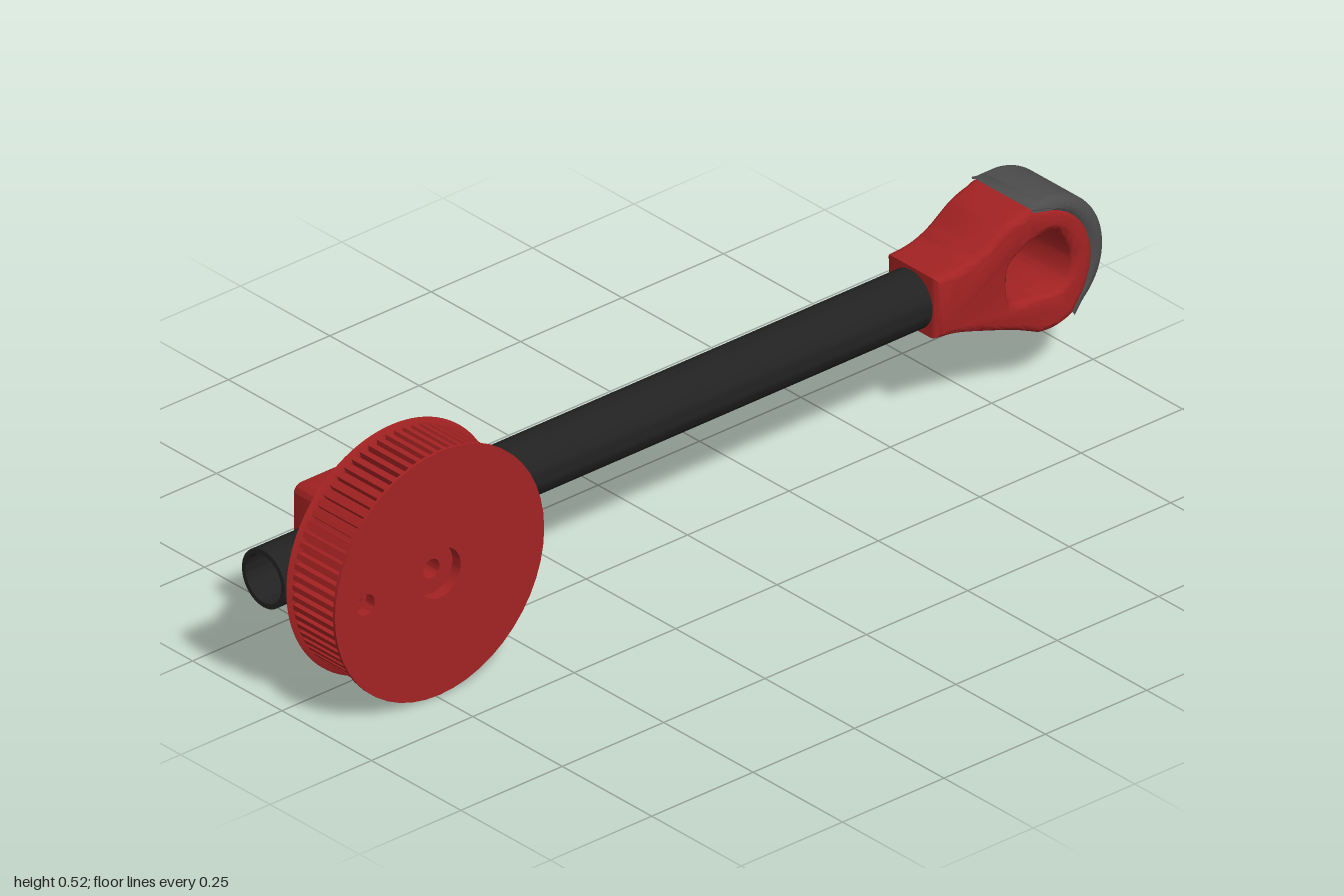
import * as THREE from 'three';
import { toCreasedNormals } from 'three/addons/utils/BufferGeometryUtils.js';

const red = new THREE.MeshStandardMaterial({ color: 0xa32222 });
const black = new THREE.MeshStandardMaterial({ color: 0x222222, side: THREE.DoubleSide });
const grey = new THREE.MeshStandardMaterial({ color: 0x4c4c4c });

const AXIS_Y = 0.262, WHEEL_X = -0.742, TUBE_Z = -0.052;
const FOOT_X = 0.862, FOOT_Y = 0.267, FOOT_R = 0.139;
const rad = THREE.MathUtils.degToRad;
const V = (x, y) => new THREE.Vector2(x, y);

function mesh(name, geometry, material, crease = 0.6) {
  const m = new THREE.Mesh(crease ? toCreasedNormals(geometry, crease) : geometry, material);
  m.name = name;
  return m;
}

function circle(r, x = 0, y = 0) {
  return new THREE.Path().absarc(x, y, r, 0, Math.PI * 2, true);
}

// Extrude a shape between two z planes
function slab(shape, z0, z1, bevel = 0) {
  const g = new THREE.ExtrudeGeometry(shape, {
    depth: z1 - z0 - 2 * bevel, curveSegments: 24, bevelEnabled: bevel > 0,
    bevelThickness: bevel, bevelSize: bevel, bevelOffset: -bevel, bevelSegments: 5,
  });
  return g.translate(0, 0, z0 + bevel);
}

// Toothed belt wheel outline
function toothShape(count = 72) {
  const pts = [], step = Math.PI * 2 / count;
  for (let i = 0; i < count; i++) {
    for (const [f, r] of [[0, 0.235], [0.3, 0.235], [0.4, 0.248], [0.9, 0.248]]) {
      const a = (i + f) * step;
      pts.push(V(Math.cos(a) * r, Math.sin(a) * r));
    }
  }
  return new THREE.Shape(pts);
}

function pocket(angle) {
  const r0 = 0.128, r1 = 0.205, p = [];
  for (let i = 0; i <= 6; i++) {
    const a = angle + (i / 6 - 0.5) * 0.46;
    p.push(V(Math.cos(a) * r1, Math.sin(a) * r1));
  }
  for (let i = 0; i <= 6; i++) {
    const a = angle + (0.5 - i / 6) * 0.4;
    p.push(V(Math.cos(a) * r0, Math.sin(a) * r0));
  }
  return new THREE.Path(p);
}

function buildWheel() {
  const wheel = new THREE.Group();
  wheel.name = 'beltWheel';
  const layer = (name, shape, z0, z1, hub, pin, extra = []) => {
    shape.holes.push(circle(hub), circle(pin, -0.182), ...extra);
    wheel.add(mesh(name, slab(shape, z0, z1), red));
  };
  const pockets = Array.from({ length: 8 }, (_, i) => pocket((i + 0.5) * Math.PI / 4));
  layer('spokedBack', toothShape(), 0.012, 0.09, 0.02, 0.01, pockets);
  layer('web', toothShape(), 0.09, 0.125, 0.02, 0.01);
  layer('toothedFront', toothShape(), 0.125, 0.142, 0.052, 0.022);
  layer('frontFlange', new THREE.Shape().absarc(0, 0, 0.258, 0, Math.PI * 2), 0.142, 0.148, 0.052, 0.022);
  // Flared lip on the back rim
  const lip = new THREE.LatheGeometry([V(0.23, 0.012), V(0.258, 0.012), V(0.246, 0.019), V(0.23, 0.019)], 96);
  wheel.add(mesh('backLip', lip.rotateX(Math.PI / 2), red));
  wheel.position.set(WHEEL_X, AXIS_Y, 0);
  return wheel;
}

function buildClamp() {
  const clamp = new THREE.Group();
  clamp.name = 'clamp';
  const s = 0.107, r = 0.022, block = new THREE.Shape();
  block.absarc(s - r, s - r, r, 0, Math.PI / 2);
  block.absarc(r - s, s - r, r, Math.PI / 2, Math.PI);
  block.absarc(r - s, r - s, r, Math.PI, Math.PI * 1.5);
  block.absarc(s - r, r - s, r, Math.PI * 1.5, Math.PI * 2);
  block.holes.push(circle(0.034));
  clamp.add(mesh('clampBlock', slab(block, -0.148, 0.016, 0.016), red, 0.7));
  // Screw seat inside the bore
  const seat = new THREE.Shape().absarc(0, 0, 0.036, 0, Math.PI * 2);
  seat.holes.push(circle(0.018));
  clamp.add(mesh('screwSeat', slab(seat, -0.122, -0.105), red));
  clamp.position.set(WHEEL_X, AXIS_Y, 0);
  return clamp;
}

// Hollow tube along x
function buildTube() {
  const x0 = -1, x1 = 0.778, ro = 0.06, ri = 0.05;
  const g = new THREE.LatheGeometry([V(ri, x0), V(ro, x0), V(ro, x1), V(ri, x1), V(ri, x0)], 48);
  g.rotateZ(-Math.PI / 2);
  const tube = mesh('tube', g, black);
  tube.position.set(0, AXIS_Y, TUBE_Z);
  return tube;
}

const TREAD_A = rad(-64), TREAD_B = rad(107);
// Tread thickness around the foot: full in the middle, thin at both ends
function treadThickness(a) {
  if (a <= TREAD_A || a >= TREAD_B) return 0;
  return 0.034 * Math.pow(Math.sin(Math.PI * (a - TREAD_A) / (TREAD_B - TREAD_A)), 0.6);
}

// Half depth of the foot, widening away from the tube
const halfDepth = x => 0.072 + 0.016 * THREE.MathUtils.clamp((x - 0.6) / 0.28, 0, 1);

function buildFoot() {
  const foot = new THREE.Group();
  foot.name = 'foot';
  // Red eyelet body
  const pts = [];
  for (let i = 0; i <= 60; i++) {
    const a = rad(-98 + i * 211 / 60), r = FOOT_R - Math.max(0, treadThickness(a) - 0.002);
    pts.push(V(FOOT_X + Math.cos(a) * r, FOOT_Y + Math.sin(a) * r));
  }
  const top = new THREE.SplineCurve([pts[60], V(0.76, 0.381), V(0.7, 0.346), V(0.65, 0.331), V(0.597, 0.329)]);
  const under = new THREE.SplineCurve([V(0.597, 0.201), V(0.65, 0.195), V(0.72, 0.175), V(0.79, 0.152), pts[0]]);
  pts.push(...top.getPoints(20).slice(1), ...under.getPoints(20).slice(0, -1));
  const shape = new THREE.Shape(pts);
  const eye = new THREE.CatmullRomCurve3([
    [0.772, 0.226], [0.771, 0.292], [0.79, 0.312], [0.85, 0.337], [0.886, 0.331],
    [0.914, 0.288], [0.92, 0.258], [0.908, 0.222], [0.885, 0.209], [0.83, 0.21], [0.787, 0.213],
  ].map(([x, y]) => new THREE.Vector3(x, y, 0)), true);
  shape.holes.push(new THREE.Path(eye.getPoints(48).slice(0, -1).map(p => V(p.x, p.y))));
  const g = slab(shape, -1, 1, 0.016);
  const p = g.attributes.position;
  for (let i = 0; i < p.count; i++) {
    const z = p.getZ(i), h = halfDepth(p.getX(i));
    p.setZ(i, Math.sign(z) * (h - (1 - Math.abs(z))));
  }
  const body = mesh('eyelet', g, red, 0.7);
  body.position.z = TUBE_Z;
  foot.add(body);

  // Grey tread lofted around the outer arc, with rounded outer corners
  const pos = [], idx = [], N = 64, c = 0.02;
  let M = 0;
  for (let i = 0; i <= N; i++) {
    const a = TREAD_A + (TREAD_B - TREAD_A) * i / N;
    const t = Math.max(treadThickness(a), 0.002), k = Math.min(c, t + 0.004);
    const h = halfDepth(FOOT_X + Math.cos(a) * FOOT_R) + 0.0005;
    const section = [[FOOT_R - t - 0.006, -h + 0.006], [FOOT_R - t + 0.002, -h]];
    for (let j = 0; j <= 6; j++) {
      const b = j / 6 * Math.PI / 2;
      section.push([FOOT_R - k + k * Math.sin(b), -h + k - k * Math.cos(b)]);
    }
    section.push(...section.map(([r, z]) => [r, -z]).reverse());
    M = section.length;
    for (const [r, z] of section) pos.push(FOOT_X + Math.cos(a) * r, FOOT_Y + Math.sin(a) * r, z);
  }
  for (let i = 0; i < N; i++) {
    for (let j = 0; j < M; j++) {
      const a = i * M + j, b = i * M + (j + 1) % M;
      idx.push(a, a + M, b, b, a + M, b + M);
    }
  }
  const tg = new THREE.BufferGeometry();
  tg.setAttribute('position', new THREE.Float32BufferAttribute(pos, 3));
  tg.setIndex(idx);
  const tread = mesh('tread', tg, grey, 0.7);
  tread.position.z = TUBE_Z;
  foot.add(tread);
  return foot;
}

export function createModel() {
  const model = new THREE.Group();
  model.name = 'crankArm';
  model.add(buildWheel(), buildClamp(), buildTube(), buildFoot());
  return model;
}
